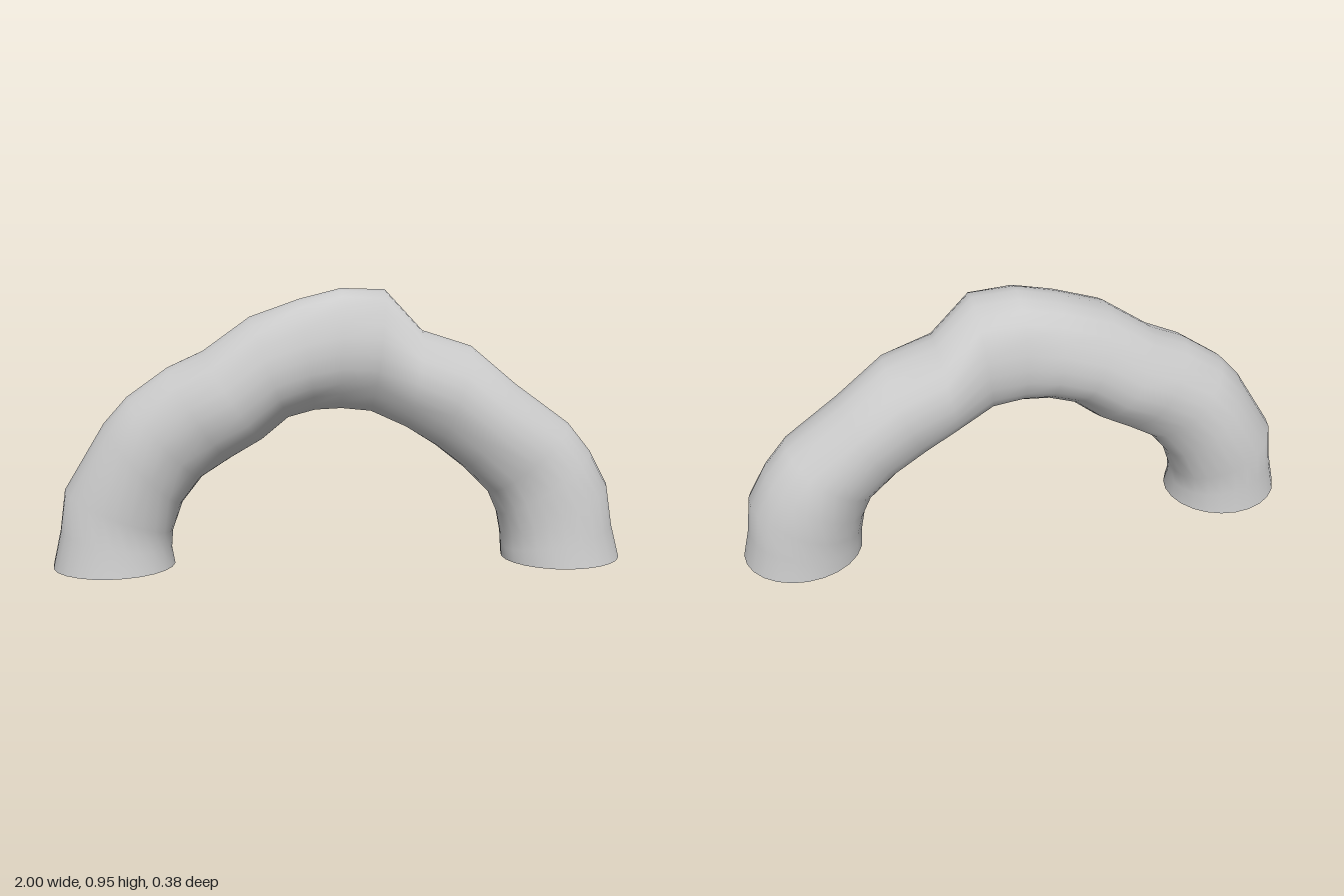
import * as THREE from 'three';

const SIDES = 24;

// One row per cross-section along the arch, from the right foot to the left:
// outer x, outer y, inner x, inner y, front z, back z
const SECTIONS = [
  [-1.00, 0.00, -0.58, 0.00, 0.175, -0.19],
  [-0.97, 0.13, -0.59, 0.06, 0.155, -0.18],
  [-0.95, 0.27, -0.585, 0.12, 0.145, -0.18],
  [-0.81, 0.50, -0.55, 0.22, 0.16, -0.185],
  [-0.73, 0.59, -0.48, 0.31, 0.155, -0.165],
  [-0.59, 0.69, -0.38, 0.375, 0.175, -0.175],
  [-0.47, 0.745, -0.27, 0.44, 0.185, -0.185],
  [-0.31, 0.86, -0.18, 0.515, 0.165, -0.185],
  [-0.14, 0.92, -0.09, 0.54, 0.15, -0.17],
  [0.00, 0.955, 0.00, 0.545, 0.145, -0.165],
  [0.15, 0.95, 0.10, 0.535, 0.145, -0.165],
  [0.28, 0.81, 0.22, 0.48, 0.15, -0.18],
  [0.45, 0.755, 0.33, 0.41, 0.155, -0.19],
  [0.61, 0.62, 0.43, 0.33, 0.155, -0.175],
  [0.80, 0.48, 0.52, 0.24, 0.14, -0.175],
  [0.88, 0.38, 0.555, 0.16, 0.14, -0.185],
  [0.945, 0.26, 0.57, 0.08, 0.15, -0.18],
  [0.965, 0.12, 0.572, 0.04, 0.16, -0.18],
  [0.995, 0.00, 0.575, 0.00, 0.175, -0.185],
];

// Ring of points around one section: the outer front edge is worn flatter
// on both shoulders, and shallow grooves fade out at the feet
function ring([ox, oy, ix, iy, front, back], i) {
  const points = [];
  const u = i / (SECTIONS.length - 1);
  const fade = Math.sin(Math.PI * u);
  const shoulder = Math.sin(2 * Math.PI * u) ** 2;
  for (let j = 0; j < SIDES; j++) {
    const a = (j / SIDES) * Math.PI * 2;
    const diagonal = Math.sin(2 * a);
    const groove = Math.abs(diagonal) * Math.sin(5 * a + 0.6 * i);
    const wear = a < Math.PI / 2 ? diagonal * shoulder : 0;
    const r = 1 + 0.03 * fade * groove - 0.05 * wear;
    const t = (1 + r * Math.cos(a)) / 2;
    const s = Math.sin(a) * r;
    points.push(new THREE.Vector3(
      ix + (ox - ix) * t, iy + (oy - iy) * t, s > 0 ? s * front : -s * back));
  }
  return points;
}

function toGeometry(points, index) {
  const geometry = new THREE.BufferGeometry().setFromPoints(points);
  geometry.setIndex(index);
  geometry.computeVertexNormals();
  return geometry;
}

// Skin joining neighbouring rings
function skin(rings) {
  const index = [];
  for (let i = 0; i < rings.length - 1; i++) {
    for (let j = 0; j < SIDES; j++) {
      const k = (j + 1) % SIDES;
      const a = i * SIDES + j, b = i * SIDES + k;
      index.push(a, b, a + SIDES, b, b + SIDES, a + SIDES);
    }
  }
  return toGeometry(rings.flat(), index);
}

// Flat sole closing one foot
function cap(points, flip) {
  const centre = new THREE.Vector3();
  points.forEach((p) => centre.addScaledVector(p, 1 / SIDES));
  const index = [];
  for (let j = 0; j < SIDES; j++) {
    const k = (j + 1) % SIDES;
    index.push(SIDES, flip ? k : j, flip ? j : k);
  }
  return toGeometry([...points, centre], index);
}

export function createModel() {
  const group = new THREE.Group();
  group.name = 'rockArch';
  const material = new THREE.MeshStandardMaterial({ color: 0xcccccc });
  const add = (name, geometry) => {
    const mesh = new THREE.Mesh(geometry, material);
    mesh.name = name;
    group.add(mesh);
  };
  const rings = SECTIONS.map(ring);
  add('archBody', skin(rings));
  add('rightFootSole', cap(rings[0], true));
  add('leftFootSole', cap(rings[rings.length - 1], false));
  return group;
}
